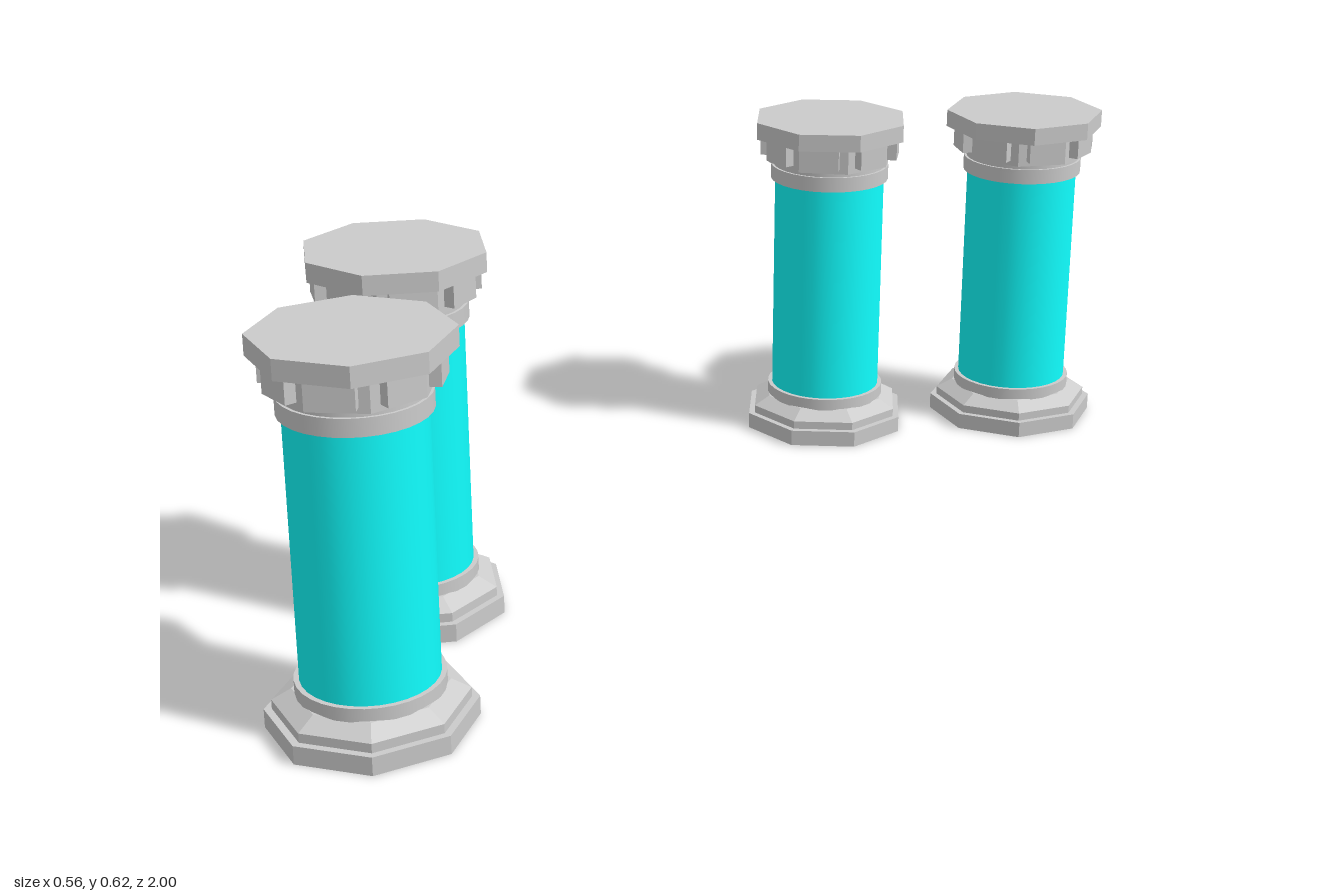
import * as THREE from 'three';

const grey = new THREE.MeshStandardMaterial({ color: 0xcccccc });
const stone = new THREE.MeshStandardMaterial({ color: 0xcccccc, flatShading: true });
const cyan = new THREE.MeshStandardMaterial({ color: 0x11ffff });

// Upright cylinder or prism between heights y0 and y1
function drum(name, rBottom, rTop, y0, y1, sides, material, angle = 0) {
  const mesh = new THREE.Mesh(new THREE.CylinderGeometry(rTop, rBottom, y1 - y0, sides), material);
  mesh.position.y = (y0 + y1) / 2;
  mesh.rotation.y = angle;
  mesh.name = name;
  return mesh;
}

// One column; slabAngle turns the octagonal slabs, blockAngle the capital blocks
function column(slabAngle, blockAngle) {
  const g = new THREE.Group();
  g.name = 'column';

  // Octagonal stepped base
  g.add(drum('plinth', 0.159, 0.159, 0, 0.03, 8, stone, slabAngle));
  g.add(drum('baseStep', 0.147, 0.147, 0.03, 0.045, 8, stone, slabAngle));
  g.add(drum('baseSlope', 0.147, 0.117, 0.045, 0.062, 8, stone, slabAngle));

  // Round rings and shaft
  g.add(drum('lowerRing', 0.1125, 0.1125, 0.06, 0.082, 32, grey));
  g.add(drum('shaft', 0.1045, 0.1045, 0.08, 0.502, 32, cyan));
  g.add(drum('upperRing', 0.1125, 0.1125, 0.5, 0.528, 32, grey));
  g.add(drum('neck', 0.108, 0.108, 0.526, 0.538, 32, grey));

  // Capital with a block on each of its eight faces
  const capital = new THREE.Group();
  capital.name = 'capital';
  capital.rotation.y = blockAngle;
  capital.add(drum('capitalDrum', 0.121, 0.121, 0.536, 0.586, 8, stone, Math.PI / 8));
  for (let i = 0; i < 8; i++) {
    const a = (i * Math.PI) / 4;
    const block = new THREE.Mesh(new THREE.BoxGeometry(0.06, 0.04, 0.03), stone);
    block.position.set(Math.sin(a) * 0.115, 0.5655, Math.cos(a) * 0.115);
    block.rotation.y = a;
    block.name = 'capitalBlock';
    capital.add(block);
  }
  g.add(capital);

  // Octagonal top slab
  g.add(drum('topSlab', 0.149, 0.149, 0.585, 0.617, 8, stone, slabAngle));
  return g;
}

export function createModel() {
  const model = new THREE.Group();
  model.name = 'columns';
  const deg = Math.PI / 180;
  const layout = [
    { x: 0.12, z: 0.841, slab: 4, block: -7 },
    { x: -0.125, z: 0.548, slab: -15, block: 13 },
  ];
  // Two columns in front, mirrored to the back
  for (const { x, z, slab, block } of layout) {
    for (const s of [1, -1]) {
      const c = column(s * slab * deg, s * block * deg);
      c.position.set(x, 0, s * z);
      c.name = (s > 0 ? 'front' : 'back') + (x > 0 ? 'Left' : 'Right') + 'Column';
      model.add(c);
    }
  }
  return model;
}
